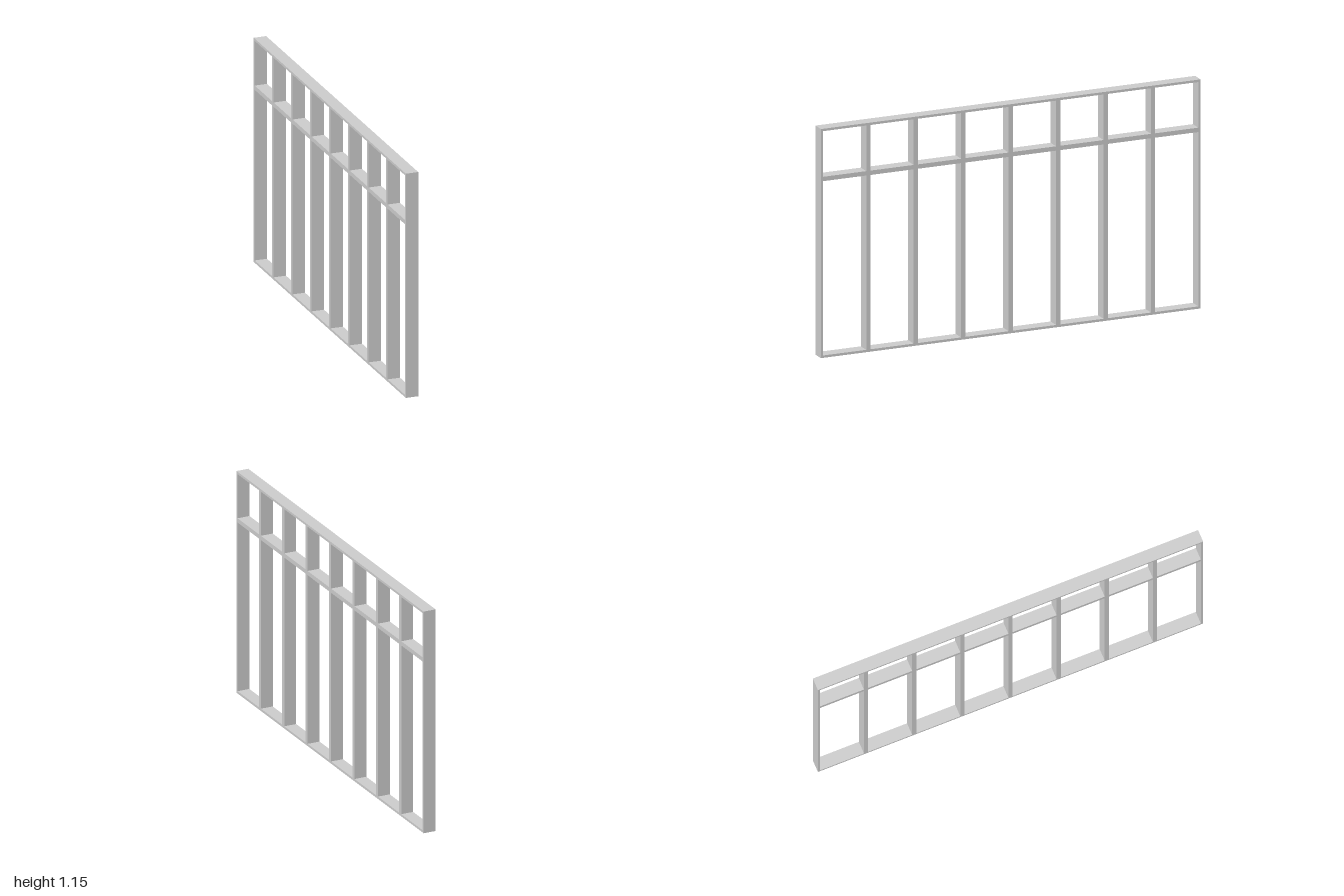
import * as THREE from 'three';

const DEPTH = 0.064, HEIGHT = 1.15, LENGTH = 2, BAYS = 8;
const EDGE = 0.012, BAR = 0.022, TRANSOM_Y = 0.898;

export function createModel() {
  const model = new THREE.Group();
  model.name = 'windowFrame';
  const material = new THREE.MeshStandardMaterial({ color: 0xcccccc, flatShading: true });

  function addBar(name, height, width, y, z) {
    const mesh = new THREE.Mesh(new THREE.BoxGeometry(DEPTH, height, width), material);
    mesh.name = name;
    mesh.position.set(0, y, z);
    model.add(mesh);
  }

  // Full-height uprights: thin end posts and wider mullions between bays
  const uprights = [];
  for (let i = 0; i <= BAYS; i++) {
    const end = i === 0 || i === BAYS;
    const width = end ? EDGE : BAR;
    let z = -LENGTH / 2 + (i * LENGTH) / BAYS;
    if (end) z -= Math.sign(z) * EDGE / 2;
    addBar(end ? 'endPost' : 'mullion', HEIGHT, width, HEIGHT / 2, z);
    uprights.push({ z, width });
  }

  // Sill, transom and head fitted between neighbouring uprights
  for (let i = 0; i < BAYS; i++) {
    const start = uprights[i].z + uprights[i].width / 2;
    const stop = uprights[i + 1].z - uprights[i + 1].width / 2;
    const span = stop - start, z = (start + stop) / 2;
    addBar('sill', EDGE, span, EDGE / 2, z);
    addBar('transom', BAR, span, TRANSOM_Y, z);
    addBar('head', EDGE, span, HEIGHT - EDGE / 2, z);
  }
  return model;
}
